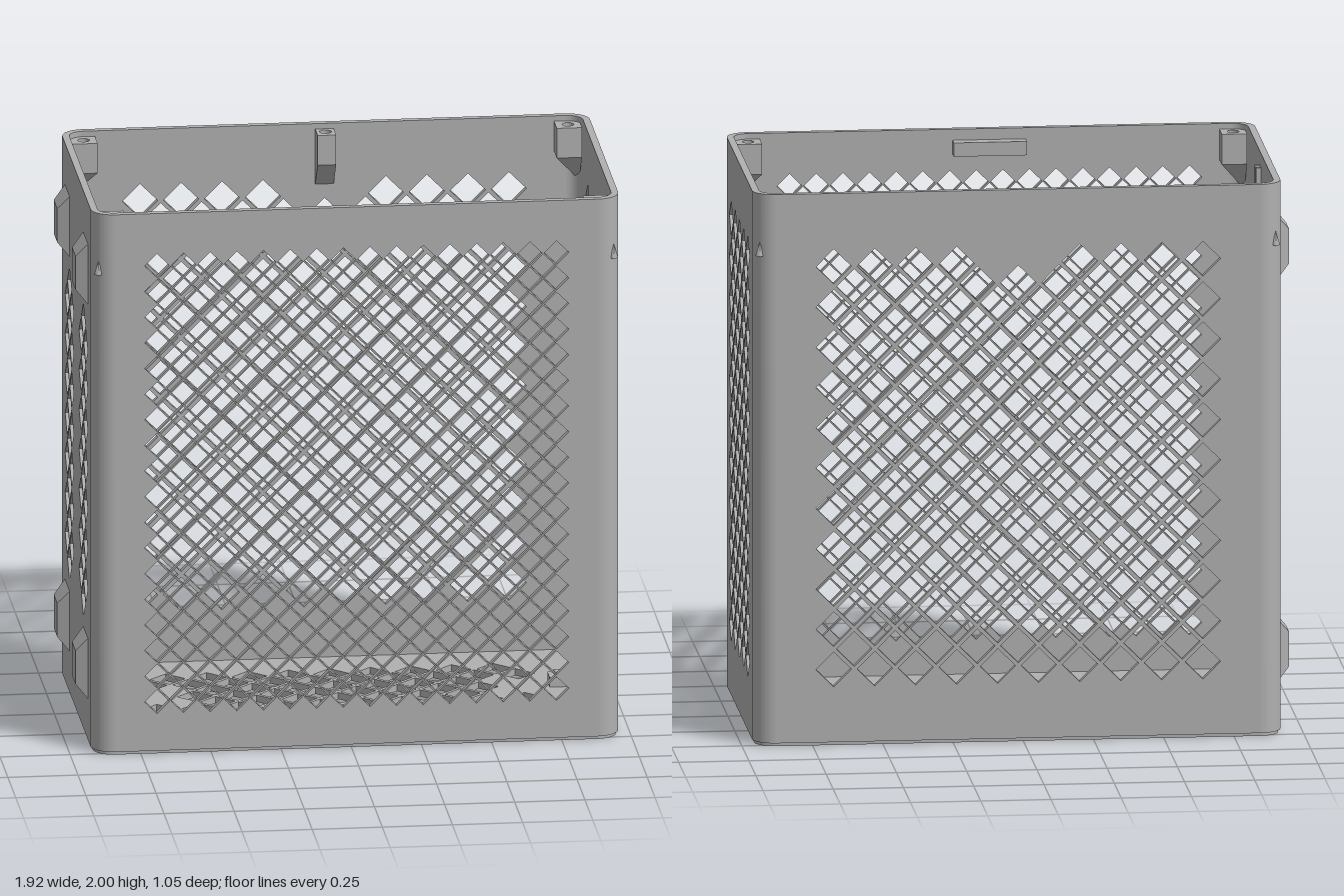
import * as THREE from 'three';
import { toCreasedNormals } from 'three/addons/utils/BufferGeometryUtils.js';

const CX = 0.0185;            // middle of the box in x
const HX = 0.94, HZ = 0.525;  // half width and half depth
const R = 0.08, T = 0.025;    // corner radius and wall thickness
const BASE = 0.012, TOP = 2;
const P = 0.1455, D = 0.063;  // pitch and half diagonal of the large holes

export function createModel() {
  const group = new THREE.Group();
  const grey = new THREE.MeshStandardMaterial({ color: 0xb0b0b0 });
  grey.name = 'plain grey';

  const add = (name, geometry, x = 0, y = 0, z = 0) => {
    const mesh = new THREE.Mesh(geometry, grey);
    mesh.name = name;
    mesh.position.set(x, y, z);
    group.add(mesh);
    return mesh;
  };
  const box = (name, x0, x1, y0, y1, z0, z1) =>
    add(name, new THREE.BoxGeometry(x1 - x0, y1 - y0, z1 - z0), (x0 + x1) / 2, (y0 + y1) / 2, (z0 + z1) / 2);
  const extrude = (shape, depth, curveSegments = 10) =>
    new THREE.ExtrudeGeometry(shape, { depth, bevelEnabled: false, curveSegments });

  const rect = (x0, x1, y0, y1) => new THREE.Shape([
    new THREE.Vector2(x0, y0), new THREE.Vector2(x1, y0),
    new THREE.Vector2(x1, y1), new THREE.Vector2(x0, y1)]);

  // Diamond holes on a staggered grid; i and j count half pitches from the middle
  const punch = (shape, cx, cy, nx, ny, pitch, d, keep) => {
    for (let i = -nx; i <= nx; i++) {
      for (let j = -ny; j <= ny; j++) {
        if ((i + nx + j + ny) % 2 || !keep(i, j)) continue;
        const x = cx + i * pitch / 2, y = cy + j * pitch / 2;
        shape.holes.push(new THREE.Path([
          new THREE.Vector2(x - d, y), new THREE.Vector2(x, y + d),
          new THREE.Vector2(x + d, y), new THREE.Vector2(x, y - d)]));
      }
    }
    return shape;
  };
  // Full rows only on alternate half pitches: corners of the grid are holes
  const all = () => true;

  // Front and back walls
  const wide = () => rect(CX - HX + R, CX + HX - R, BASE, TOP);
  add('frontWall', extrude(punch(wide(), CX, 1.0, 15, 17, 0.0949, 0.044, all), T), 0, 0, HZ - T);
  add('backWall', extrude(punch(wide(), CX, 1.005, 9, 10, 0.146, D,
    (i, j) => !(Math.abs(i) < 2 && j === 10)), T), 0, 0, -HZ);

  // Side walls
  const side = () => rect(-HZ + R, HZ - R, BASE, TOP);
  const right = add('rightPlusXWall', extrude(punch(side(), 0, 1.005, 4, 10, 0.147, D, all), T), CX + HX);
  const left = add('leftMinusXWall', extrude(punch(side(), 0, 1.005, 4, 10, 0.147, D,
    (i, j) => Math.abs(i) >= 2 && Math.abs(j) <= 7), T), CX - HX + T);
  right.rotation.y = left.rotation.y = -Math.PI / 2;

  // Rounded corners
  for (let k = 0; k < 4; k++) {
    const a = k * Math.PI / 2, s = new THREE.Shape();
    s.absarc(0, 0, R, a, a + Math.PI / 2, false);
    s.absarc(0, 0, R - T, a + Math.PI / 2, a, true);
    const g = toCreasedNormals(extrude(s, TOP - BASE), 0.6);
    g.rotateX(-Math.PI / 2);
    const sx = k === 0 || k === 3 ? 1 : -1, sz = k < 2 ? -1 : 1;
    add('corner', g, CX + sx * (HX - R), BASE, sz * (HZ - R));
  }

  // Floor with holes and a cable slot
  const inset = 0.008, fr = R - inset;
  const x0 = CX - HX + inset, x1 = CX + HX - inset, zz = HZ - inset;
  const f = new THREE.Shape();
  f.absarc(x1 - fr, zz - fr, fr, 0, Math.PI / 2);
  f.absarc(x0 + fr, zz - fr, fr, Math.PI / 2, Math.PI);
  f.absarc(x0 + fr, -zz + fr, fr, Math.PI, Math.PI * 1.5);
  f.absarc(x1 - fr, -zz + fr, fr, Math.PI * 1.5, Math.PI * 2);
  punch(f, CX, -0.003, 9, 4, P, D, () => false);
  for (let j = -4; j <= 4; j++) {
    for (let i = -9; i <= 9; i++) {
      if ((i + j) % 2) continue;
      const nearBracket = j >= -2 && j <= 0 && Math.abs(i) > 7;
      const nearBoss = j === 3 && i === 9;
      if (nearBracket || nearBoss) continue;
      const x = CX + i * P / 2, z = -0.003 + j * P / 2;
      f.holes.push(new THREE.Path([
        new THREE.Vector2(x - D, z), new THREE.Vector2(x, z + D),
        new THREE.Vector2(x + D, z), new THREE.Vector2(x, z - D)]));
    }
  }
  f.holes.push(new THREE.Path(rect(0.828, 0.872, 0.28, 0.39).getPoints()));
  add('floor', extrude(f, T), 0, T, 0).rotation.x = Math.PI / 2;

  // Screw bosses below the rim, tapering down to the wall
  const boss = (x, z, w, dx, dz) => {
    const s = rect(-w, w, -0.045, 0.045), hole = new THREE.Path();
    hole.absarc(0, 0, 0.021, 0, Math.PI * 2, true);
    s.holes.push(hole);
    const top = extrude(s, 0.11);
    top.rotateX(-Math.PI / 2);
    add('screwBoss', top, x, 1.87, z);
    const taper = new THREE.BoxGeometry(w * 2, 0.1, 0.09).toNonIndexed();
    const p = taper.attributes.position;
    for (let i = 0; i < p.count; i++) {
      if (p.getY(i) > 0) continue;
      if (dx && p.getX(i) * dx < 0) p.setX(i, dx * w * 0.8);
      if (dz && p.getZ(i) * dz < 0) p.setZ(i, dz * 0.04);
    }
    taper.computeVertexNormals();
    add('screwBossTaper', taper, x, 1.82, z);
  };
  for (const sx of [-1, 1]) {
    for (const sz of [-1, 1]) boss(CX + sx * 0.863, sz * 0.457, 0.045, sx, sz);
  }
  boss(CX, -0.465, 0.033, 0, -1);

  // Catch bar inside the front rim
  box('catchBar', -0.11, 0.15, 1.91, 1.96, 0.455, 0.502);

  // Small snaps on the outer corners
  for (const sx of [-1, 1]) {
    for (const sz of [-1, 1]) {
      add('cornerSnap', new THREE.ConeGeometry(0.016, 0.05, 4).toNonIndexed(), CX + sx * 0.918, 1.8, sz * 0.505);
    }
  }

  // Tapered feet on the minus x wall
  for (const y of [0.275, 1.735]) {
    for (const z of [-0.29, 0.29]) {
      const g = new THREE.BoxGeometry(0.045, 0.23, 0.155).toNonIndexed();
      const p = g.attributes.position;
      for (let i = 0; i < p.count; i++) {
        if (p.getX(i) < 0) {
          p.setY(i, p.getY(i) * 0.54);
          p.setZ(i, p.getZ(i) * 0.7);
        }
      }
      g.computeVertexNormals();
      add('sideFoot', g, -0.941, y, z);
    }
  }

  // Pair of upright guide ribs inside the minus x wall
  for (const z of [-0.012, 0.028]) box('guideRib', -0.9, -0.878, T, 1.95, z - 0.007, z + 0.007);

  // Brackets on the floor
  box('leftBracket', -0.9, -0.705, T - 0.005, 0.06, -0.12, -0.045);
  box('leftBracketKey', -0.87, -0.73, 0.055, 0.075, -0.1, -0.065);
  box('rightBracket', 0.77, 0.94, T - 0.005, 0.06, -0.12, -0.045);
  box('rightBracketKey', 0.79, 0.915, 0.055, 0.075, -0.1, -0.065);

  // Ring bosses beside the slot
  for (const z of [0.228, 0.44]) {
    const s = new THREE.Shape(), hole = new THREE.Path();
    s.absarc(0, 0, 0.037, 0, Math.PI * 2, false);
    hole.absarc(0, 0, 0.02, 0, Math.PI * 2, true);
    s.holes.push(hole);
    const g = toCreasedNormals(extrude(s, 0.05), 0.6);
    g.rotateX(-Math.PI / 2);
    add('floorBoss', g, 0.85, T - 0.005, z);
  }

  return group;
}
